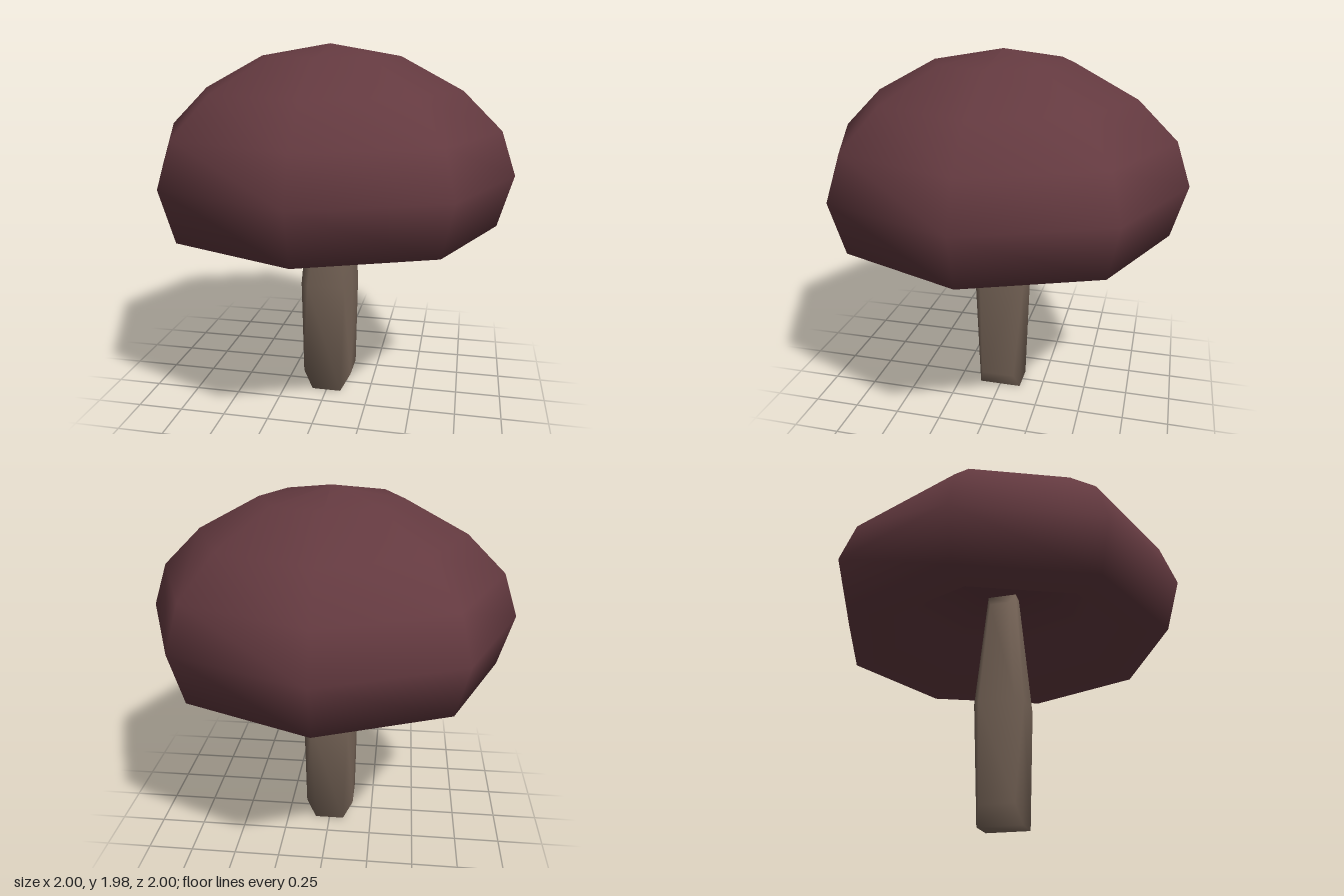
import * as THREE from 'three';
import { mergeVertices } from 'three/addons/utils/BufferGeometryUtils.js';
import { ConvexGeometry } from 'three/addons/geometries/ConvexGeometry.js';

// Eight-sided cap: steep-walled hollow, flat lip, then the dome
function createCap() {
  const profile = [
    [0, 1.5], [0.3, 1.46], [0.58, 1.33], [0.72, 1.02], [0.92, 1.02], [1, 1.3],
    [0.92, 1.535], [0.71, 1.74], [0.38, 1.915], [0, 1.98],
  ].map(([r, y]) => new THREE.Vector2(r, y));
  const cap = new THREE.Mesh(
    new THREE.LatheGeometry(profile, 8),
    new THREE.MeshStandardMaterial({ color: 0x643a40 })
  );
  cap.name = 'cap';
  return cap;
}

// Eight-sided stem, its left and right sides chamfered at both ends
function createStem() {
  // One corner each, mirrored in x and z
  const corners = [
    [0.083, 0, 0.121], [0.139, 0.1, 0.095],     // foot
    [0.105, 0.65, 0.138], [0.148, 0.65, 0.1],   // widest ring
    [0.04, 1.34, 0.082], [0.098, 1.26, 0.055],  // top
  ];
  const points = [];
  for (const [x, y, z] of corners)
    for (const sx of [-1, 1])
      for (const sz of [-1, 1]) points.push(new THREE.Vector3(sx * x, y, sz * z));

  // Shared vertices give smooth shading
  const hull = new ConvexGeometry(points);
  hull.deleteAttribute('normal');
  const geometry = mergeVertices(hull, 1e-4);
  geometry.computeVertexNormals();
  const stem = new THREE.Mesh(geometry, new THREE.MeshStandardMaterial({ color: 0x766457 }));
  stem.name = 'stem';
  return stem;
}

export function createModel() {
  const mushroom = new THREE.Group();
  mushroom.name = 'mushroom';
  mushroom.add(createCap(), createStem());
  return mushroom;
}
